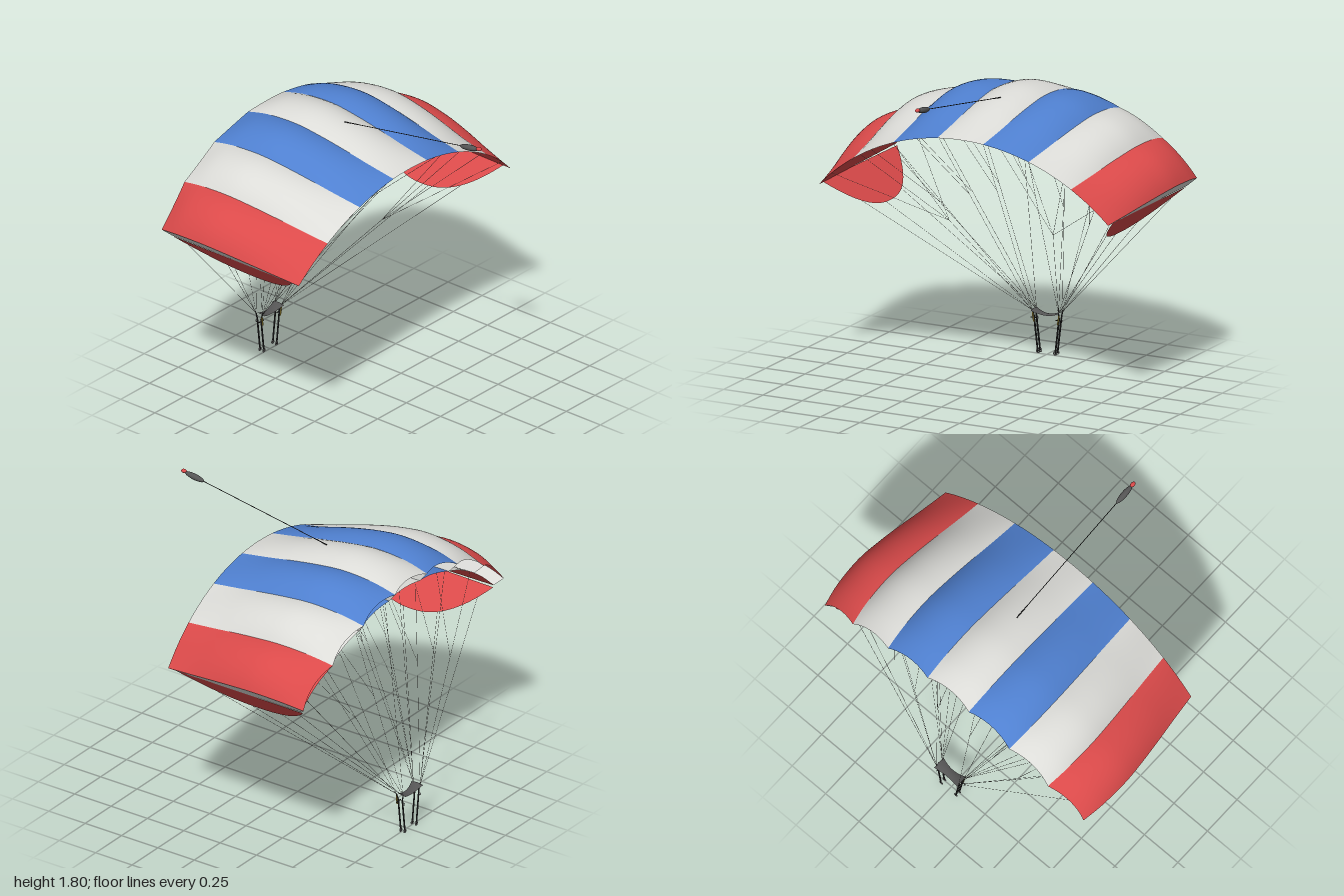
import * as THREE from 'three';

const mat = (name, color, side = THREE.DoubleSide) => {
  const m = new THREE.MeshStandardMaterial({ color, side });
  m.name = name;
  return m;
};

export function createModel() {
  const group = new THREE.Group();
  const red = mat('red cloth', 0xdb4a4a);
  const white = mat('white cloth', 0xdcdcd8);
  const blue = mat('blue cloth', 0x4f80d0);
  const grey = mat('dark grey cloth', 0x555555);
  const black = mat('black webbing', 0x2b2b2b);
  const cord = mat('line grey', 0x77756f);
  const brass = mat('toggle yellow', 0xb59c3a);
  const steel = mat('ring steel', 0x9a9a9a);

  const add = (name, geo, material, parent = group) => {
    const mesh = new THREE.Mesh(geo, material);
    mesh.name = name;
    parent.add(mesh);
    return mesh;
  };

  // Surface from a rule f(u, v) -> Vector3
  const grid = (f, nu, nv) => {
    const pos = [], idx = [];
    for (let i = 0; i <= nu; i++)
      for (let j = 0; j <= nv; j++) pos.push(...f(i / nu, j / nv).toArray());
    for (let i = 0; i < nu; i++)
      for (let j = 0; j < nv; j++) {
        const a = i * (nv + 1) + j, b = a + nv + 1;
        idx.push(a, b, a + 1, b, b + 1, a + 1);
      }
    const g = new THREE.BufferGeometry();
    g.setAttribute('position', new THREE.Float32BufferAttribute(pos, 3));
    g.setIndex(idx);
    g.computeVertexNormals();
    return g;
  };

  // Canopy lies on an arc about the riser tops; k counts cells from the middle
  const CELL = THREE.MathUtils.degToRad(13.1);
  const polar = (k, r, z) =>
    new THREE.Vector3(r * Math.sin(k * CELL), 0.22 + r * Math.cos(k * CELL), z);
  const chordZ = (k, s) => {
    const e = Math.abs(k) / 3.5;
    return THREE.MathUtils.lerp(0.28 - 0.043 * e * e, -0.78 + 0.052 * e ** 3, s);
  };
  const profile = new THREE.SplineCurve([
    [0, 1.28], [0.17, 1.312], [0.33, 1.346], [0.5, 1.377], [0.67, 1.396], [0.86, 1.383], [1, 1.348],
  ].map(p => new THREE.Vector2(...p)));
  // puff is 0 at a rib and 1 in the middle of a cell
  const upper = (k, u, puff = 0) => {
    const { x: s, y: r } = profile.getPoint(u);
    const swell = Math.sin(Math.PI * 0.87 * Math.min(s, 1));
    return polar(k, r + 0.038 * puff * swell, chordZ(k, s) + 0.022 * puff * s ** 8);
  };
  const lower = (k, s, puff = 0) =>
    polar(k, 1.28 + 0.012 * s, chordZ(k, s * 0.957) + 0.012 * puff * s ** 8);

  const canopy = new THREE.Group();
  canopy.name = 'canopy';
  group.add(canopy);
  const cellColours = [white, blue, white, red];
  for (let c = -3; c <= 3; c++) {
    const m = cellColours[Math.abs(c)];
    const puff = v => 4 * v * (1 - v);
    add('cellTop', grid((u, v) => upper(c - 0.5 + v, u, puff(v)), 30, 14), m, canopy);
    add('cellBottom', grid((u, v) => lower(c - 0.5 + v, u, puff(v)), 24, 10), m, canopy);
  }
  // Ribs between the cells, seen through the open nose
  for (let k = -3.5; k <= 3.5; k++)
    add('rib', grid((u, v) => lower(k, profile.getPoint(u).x).lerp(upper(k, u), v), 30, 1), white, canopy);

  // Half-round stabilizer panels in the plane of each end rib
  const stabDepth = d => 0.272 * (1 - Math.abs(d) ** 2.3);
  const stabPoint = (k, d, v) => polar(k, 1.285 - 0.005 * d - v * stabDepth(d), -0.25 - 0.44 * d);
  for (const k of [-3.5, 3.5])
    add('stabilizer', grid((u, v) => stabPoint(k, u * 2 - 1, v), 40, 1), red, canopy);

  // Thin rod between two points
  const rod = (name, a, b, r, material, sides = 4) => {
    const dir = b.clone().sub(a);
    const mesh = add(name, new THREE.CylinderGeometry(r, r, dir.length(), sides, 1, true), material);
    mesh.position.copy(a).add(b).multiplyScalar(0.5);
    mesh.quaternion.setFromUnitVectors(new THREE.Vector3(0, 1, 0), dir.normalize());
    return mesh;
  };
  const V = (x, y, z) => new THREE.Vector3(x, y, z);
  const line = (a, b) => rod('suspensionLine', a, b, 0.001, cord);

  for (const side of [-1, 1]) {
    const frontTop = V(side * 0.082, 0.25, -0.783);
    const rearTop = V(side * 0.082, 0.25, -0.737);

    // Suspension lines, with a fork part way up on each rib
    for (const k of [0.5, 1.5, 2.5]) {
      const kk = side * k;
      const a = lower(kk, 0.97), b = lower(kk, 0.72), c = lower(kk, 0.45), d = lower(kk, 0.22);
      line(frontTop, a);
      const forkA = frontTop.clone().lerp(a, 0.6);
      line(forkA, b);
      line(rearTop, c);
      line(rearTop.clone().lerp(c, 0.62), d);
    }
    // Stabilizer lines
    for (const [d, top] of [[0.85, frontTop], [0.4, frontTop], [-0.1, rearTop], [-0.55, rearTop]])
      line(top, stabPoint(side * 3.5, d, 1));

    // Steering line fanning out to the trailing edge
    const fork = V(side * 0.33, 0.87, -0.21);
    line(rearTop, fork);
    for (const k of [0.9, 1.5, 2.3, 3.1]) line(fork, lower(side * k, 0));

    // Risers, end rings and steering toggles
    for (const [z, top] of [[-0.776, frontTop], [-0.748, rearTop]]) {
      rod('riser', V(side * 0.055, 0.01, z), V(side * 0.08, 0.22, z), 0.005, black, 6);
      rod('riserTop', V(side * 0.08, 0.22, z), top, 0.004, black, 6);
    }
    for (const z of [-0.776, -0.748]) {
      const ring = add('riserRing', new THREE.TorusGeometry(0.01, 0.003, 6, 16), steel);
      ring.position.set(side * 0.055, 0.014, z);
    }
    rod('toggle', V(side * 0.076, 0.185, -0.738), V(side * 0.084, 0.24, -0.738), 0.004, brass, 6);
    rod('toggleBar', V(side * 0.058, 0.207, -0.748), V(side * 0.1, 0.207, -0.748), 0.003, black, 6);
    const link = add('toggleRing', new THREE.TorusGeometry(0.006, 0.002, 6, 12), steel);
    link.position.set(side * 0.076, 0.197, -0.785);
    link.rotation.y = Math.PI / 2;
  }

  // Slider: a small sagging sheet between the riser tops
  add('slider', grid((u, v) => {
    const x = u * 2 - 1, w = v * 2 - 1;
    return V(x * 0.086, 0.23 + 0.022 * x * x + 0.006 * (1 - w * w),
      -0.76 + w * (0.026 + 0.014 * x * x));
  }, 16, 8), grey);

  // Pilot chute trailing behind on its bridle
  const anchor = V(0, 1.63, -0.2), chute = V(0, 1.78, 0.71);
  rod('bridle', anchor, V(0, 1.77, 0.645), 0.0022, black, 6);
  rod('bridleBase', anchor, anchor.clone().lerp(chute, 0.1), 0.003, black, 6);
  const body = add('pilotChute', new THREE.SphereGeometry(1, 20, 14), grey);
  body.scale.set(0.018, 0.017, 0.067);
  body.position.copy(chute);
  body.rotation.x = -0.15;
  const tip = add('pilotChuteCap', new THREE.SphereGeometry(1, 14, 10), red);
  tip.scale.set(0.013, 0.011, 0.018);
  tip.position.set(0, 1.795, 0.782);

  return group;
}
